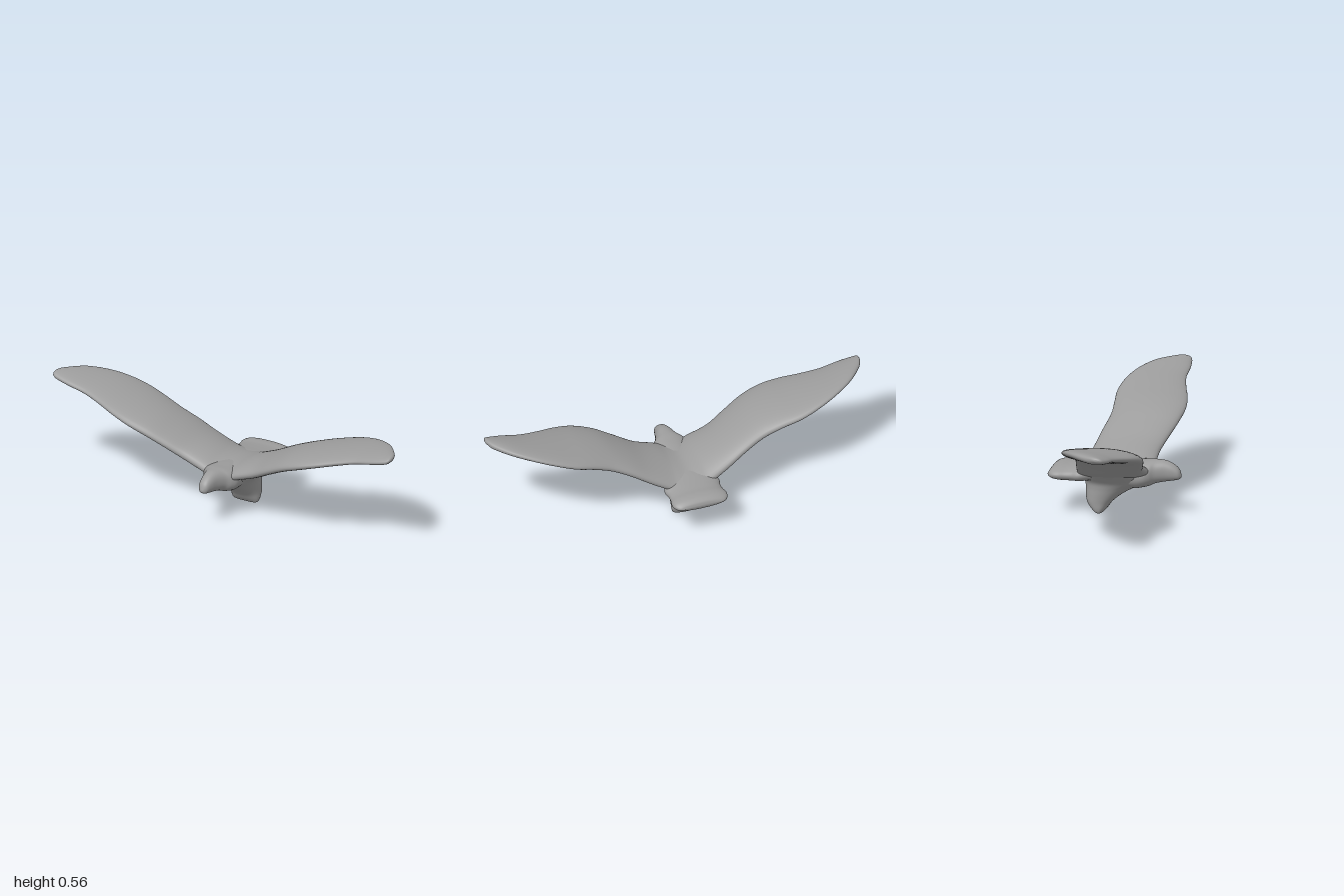
import * as THREE from 'three';

const material = new THREE.MeshStandardMaterial({ color: 0x9c9c9c });

// Catmull-Rom refinement of a list of section tuples
function refine(rows, steps) {
  const out = [];
  for (let i = 0; i < rows.length - 1; i++) {
    const a = rows[Math.max(i - 1, 0)], b = rows[i], c = rows[i + 1];
    const d = rows[Math.min(i + 2, rows.length - 1)];
    for (let s = 0; s < steps; s++) {
      const t = s / steps;
      out.push(b.map((v, k) => {
        const linear = c[k] - a[k];
        const square = 2 * a[k] - 5 * v + 4 * c[k] - d[k];
        const cube = 3 * (v - c[k]) + d[k] - a[k];
        return v + 0.5 * t * (linear + t * (square + t * cube));
      }));
    }
  }
  out.push(rows[rows.length - 1]);
  return out;
}

// Closed loft: ring(section, cos, sin) gives each point; ends are fanned shut
function loft(name, rows, ring, steps = 5, n = 40) {
  const secs = refine(rows, steps), pos = [], idx = [];
  for (const s of secs) {
    for (let j = 0; j < n; j++) {
      const a = (j / n) * Math.PI * 2;
      pos.push(...ring(s, Math.cos(a), Math.sin(a)));
    }
  }
  for (let i = 0; i < secs.length - 1; i++) {
    for (let j = 0; j < n; j++) {
      const p = i * n + j, q = i * n + (j + 1) % n;
      idx.push(p, p + n, q, q, p + n, q + n);
    }
  }
  const last = (secs.length - 1) * n;
  for (let j = 1; j < n - 1; j++) {
    idx.push(0, j, j + 1, last, last + j + 1, last + j);
  }
  const g = new THREE.BufferGeometry();
  g.setAttribute('position', new THREE.Float32BufferAttribute(pos, 3));
  g.setIndex(idx);
  g.computeVertexNormals();
  const mesh = new THREE.Mesh(g, material);
  mesh.name = name;
  return mesh;
}

// Signed power used for squarer ellipses
const sq = (v, e) => Math.sign(v) * Math.pow(Math.abs(v), e);

export function createModel() {
  const group = new THREE.Group();
  group.name = 'bird';

  // Wings: x, mid height, leading z, trailing z, half thickness, trailing edge rise
  const half = [
    [0, 0.225, 0.18, -0.19, 0.05, -0.01],
    [0.05, 0.234, 0.18, -0.188, 0.05, -0.014],
    [0.1, 0.253, 0.18, -0.182, 0.05, -0.022],
    [0.2, 0.289, 0.18, -0.162, 0.05, -0.008],
    [0.3, 0.34, 0.205, -0.142, 0.048, 0],
    [0.4, 0.389, 0.23, -0.125, 0.046, 0],
    [0.5, 0.424, 0.24, -0.13, 0.042, 0.005],
    [0.6, 0.451, 0.225, -0.138, 0.037, 0.01],
    [0.7, 0.475, 0.195, -0.122, 0.033, 0.018],
    [0.8, 0.498, 0.172, -0.085, 0.029, 0.022],
    [0.9, 0.519, 0.17, -0.022, 0.026, 0.02],
    [0.97, 0.533, 0.162, 0.055, 0.021, 0.01],
    [0.993, 0.541, 0.153, 0.095, 0.013, 0.005],
    [1, 0.544, 0.138, 0.115, 0.004, 0],
  ];
  const mirrored = half.slice(1).reverse().map(([x, ...r]) => [-x, ...r]);
  group.add(loft('wings', [...mirrored, ...half], ([x, y, lead, trail, h, rise], c, s) => [
    x,
    y + h * sq(s, 0.9) + rise * ((1 - c) / 2) ** 2 + 0.08 * h * (1 - 2 * c * c),
    (lead + trail) / 2 + c * (lead - trail) / 2,
  ]));

  // Tail, back and head: z, mid height, half width, half height
  const spine = [
    [-0.333, 0.207, 0.1, 0.004],
    [-0.326, 0.207, 0.122, 0.02],
    [-0.305, 0.208, 0.141, 0.033],
    [-0.275, 0.208, 0.146, 0.039],
    [-0.24, 0.207, 0.139, 0.04],
    [-0.205, 0.208, 0.138, 0.042],
    [-0.165, 0.211, 0.145, 0.044],
    [-0.11, 0.217, 0.125, 0.046],
    [-0.05, 0.215, 0.105, 0.052],
    [0.02, 0.21, 0.095, 0.062],
    [0.1, 0.208, 0.096, 0.071],
    [0.15, 0.214, 0.1, 0.068],
    [0.18, 0.22, 0.086, 0.065],
    [0.205, 0.226, 0.064, 0.06],
    [0.25, 0.23, 0.045, 0.054],
    [0.29, 0.226, 0.035, 0.043],
    [0.32, 0.217, 0.025, 0.027],
    [0.333, 0.207, 0.006, 0.006],
  ];
  group.add(loft('headBackAndTail', spine, ([z, y, w, h], c, s) =>
    [w * sq(c, 0.9), y - h * sq(s, 0.9), z]));

  // Belly flaring from the feet into the wing roots:
  // height, front z, back z, half width, front taper
  const belly = [
    [0, -0.074, -0.088, 0.05, 0],
    [0.006, -0.062, -0.102, 0.07, 0],
    [0.025, -0.045, -0.125, 0.078, 0.05],
    [0.06, -0.018, -0.149, 0.081, 0.1],
    [0.1, 0.03, -0.154, 0.085, 0.2],
    [0.135, 0.09, -0.155, 0.09, 0.3],
    [0.165, 0.15, -0.16, 0.1, 0.3],
    [0.195, 0.165, -0.17, 0.125, 0.25],
    [0.22, 0.15, -0.16, 0.15, 0.2],
    [0.24, 0.12, -0.13, 0.17, 0.2],
  ];
  group.add(loft('bellyAndFeet', belly, ([y, f, b, w, taper], c, s) => [
    -w * sq(s, 0.75) * (1 - taper * Math.max(c, 0)),
    y,
    (f + b) / 2 + sq(c, 0.8) * (f - b) / 2,
  ]));

  return group;
}
